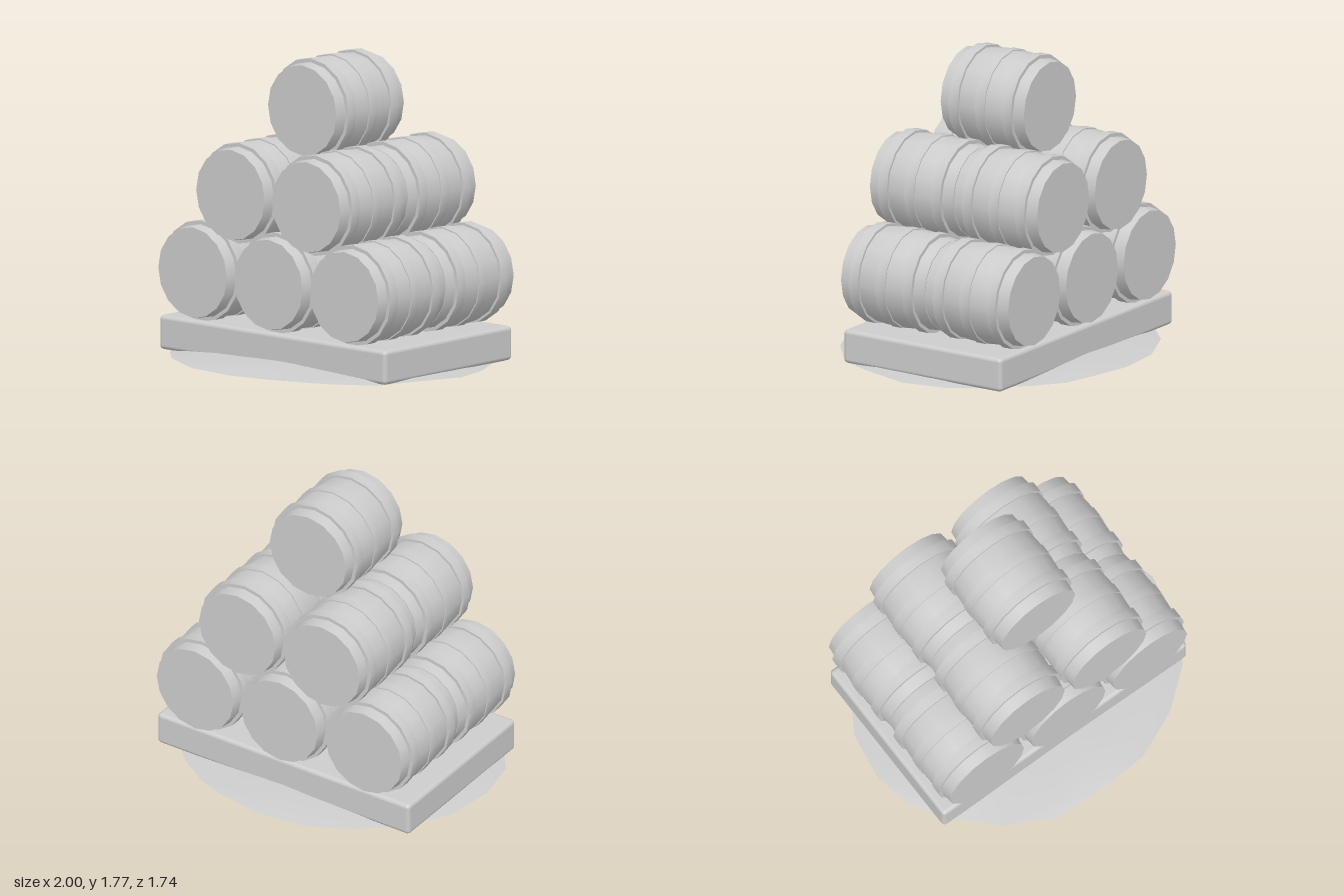
import * as THREE from 'three';
import { toCreasedNormals } from 'three/addons/utils/BufferGeometryUtils.js';
import { RoundedBoxGeometry } from 'three/addons/geometries/RoundedBoxGeometry.js';

const SIDES = 16;

// Sharp-edged lathe turned to lie along z
function turned(points) {
  const profile = points.map(([r, y]) => new THREE.Vector2(r, y));
  const g = new THREE.LatheGeometry(profile, SIDES);
  g.rotateX(Math.PI / 2);
  return toCreasedNormals(g, 0.5);
}

// Low mound: an irregular outline lofted through rings to the centre
function moundGeometry() {
  const outline = [
    [0, -0.87], [0.28, -0.83], [0.45, -0.76], [0.64, -0.64], [0.86, -0.42], [0.93, -0.25], [1, 0],
    [0.93, 0.3], [0.82, 0.53], [0.59, 0.72], [0.3, 0.85], [0, 0.865], [-0.31, 0.86], [-0.6, 0.71],
    [-0.78, 0.52], [-0.95, 0.3], [-1, 0.03], [-0.95, -0.25], [-0.8, -0.5], [-0.58, -0.71], [-0.31, -0.83],
  ];
  const rings = [[1, 0.006], [0.9, 0.02], [0.72, 0.036], [0.4, 0.046]];
  const n = outline.length;
  const pos = [];
  const index = [];
  rings.forEach(([s, h], k) => outline.forEach(([x, z], i) => {
    const front = Math.max(0, z) * 0.012;
    const bump = k === 0 ? 0.006 * Math.sin(i * 2.1) : 0.004 * Math.sin(i * 1.7 + k);
    pos.push(x * s, Math.max(0, h + front + bump), z * s);
  }));
  pos.push(0, 0.048, 0);
  for (let k = 0; k < rings.length; k++) {
    for (let i = 0; i < n; i++) {
      const j = (i + 1) % n;
      const a = k * n + i, b = k * n + j;
      if (k === rings.length - 1) index.push(a, rings.length * n, b);
      else index.push(a, a + n, b, b, a + n, b + n);
    }
  }
  const g = new THREE.BufferGeometry();
  g.setAttribute('position', new THREE.Float32BufferAttribute(pos, 3));
  g.setIndex(index);
  g.computeVertexNormals();
  return g;
}

export function createModel() {
  const model = new THREE.Group();
  const grey = new THREE.MeshStandardMaterial({ color: 0xcccccc });
  grey.name = 'plainGrey';
  grey.side = THREE.DoubleSide;

  const add = (parent, geometry, name, x = 0, y = 0, z = 0) => {
    const mesh = new THREE.Mesh(geometry, grey);
    mesh.name = name;
    mesh.position.set(x, y, z);
    parent.add(mesh);
  };

  // Ground and plinth
  add(model, moundGeometry(), 'groundMound');
  add(model, new RoundedBoxGeometry(1.745, 0.2, 1.1, 3, 0.025), 'plinth', -0.005, 0.11, -0.04);

  // Barrel parts: bulging body with flat heads, and a hoop band
  const bodyGeometry = turned([
    [0, -0.29], [0.264, -0.29], [0.277, -0.18], [0.287, -0.07], [0.287, 0.07],
    [0.277, 0.18], [0.264, 0.29], [0, 0.29],
  ]);
  const hoopGeometry = turned([[0.26, -0.033], [0.294, -0.033], [0.294, 0.033], [0.26, 0.033]]);

  function addBarrel(x, y, z) {
    const barrel = new THREE.Group();
    barrel.name = 'barrel';
    barrel.position.set(x, y, z);
    add(barrel, bodyGeometry, 'barrelBody');
    for (const hz of [-0.185, 0, 0.185]) add(barrel, hoopGeometry, 'barrelHoop', 0, 0, hz);
    model.add(barrel);
  }

  // Pyramid stack, two deep except for the top barrel
  const rows = [
    { y: 0.496, count: 3, depths: [0.25, -0.335] },
    { y: 0.985, count: 2, depths: [0.25, -0.335] },
    { y: 1.474, count: 1, depths: [-0.042] },
  ];
  for (const { y, count, depths } of rows) {
    for (let i = 0; i < count; i++) {
      const x = -0.005 + (i - (count - 1) / 2) * 0.584;
      for (const z of depths) addBarrel(x, y, z);
    }
  }
  return model;
}
